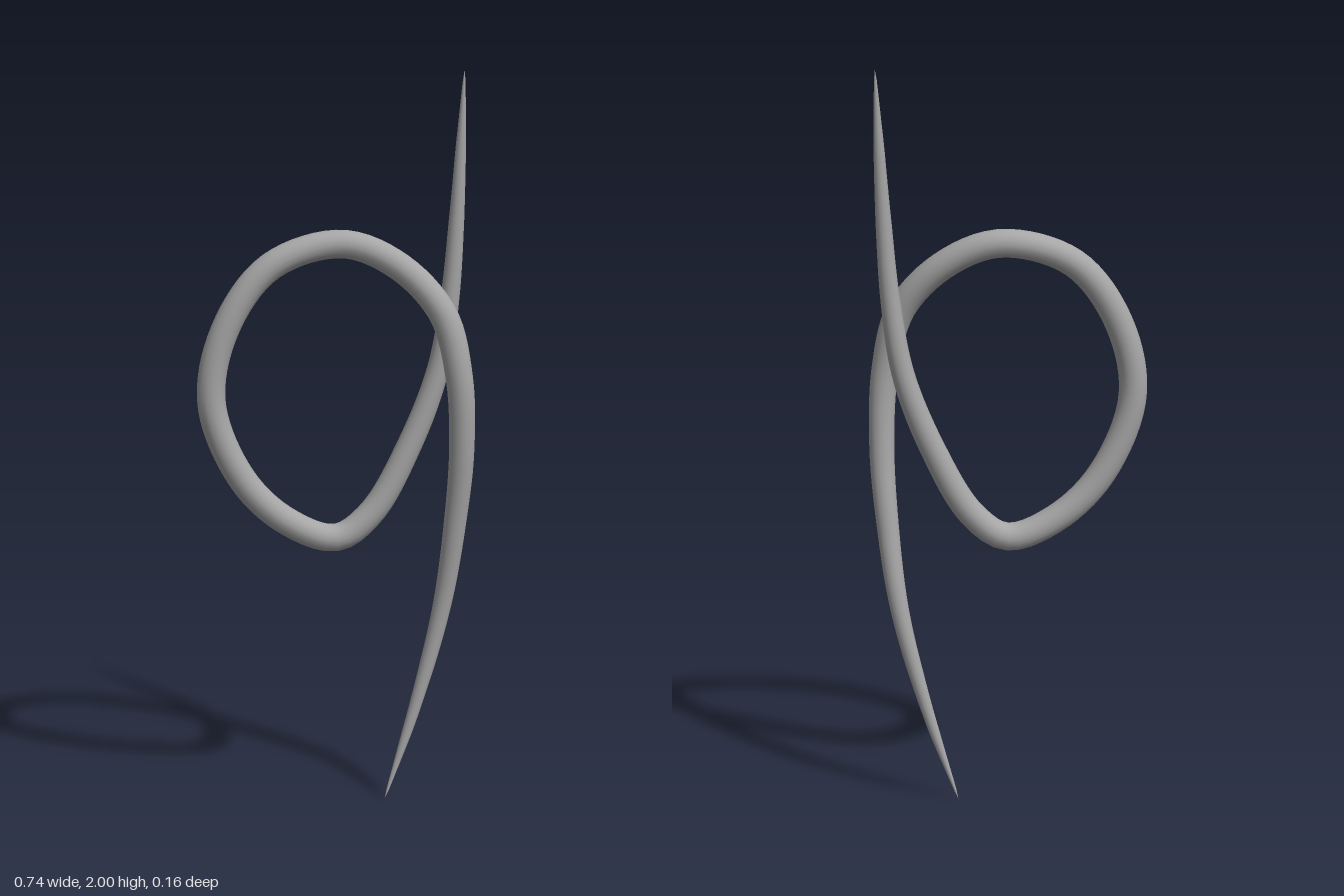
import * as THREE from 'three';

export function createModel() {
  const group = new THREE.Group();
  const grey = new THREE.MeshStandardMaterial({ color: 0xa6a6a6 });
  grey.name = 'grey';

  // centre line, from the top tip round the loop to the bottom tip
  const path = new THREE.CatmullRomCurve3([
    [0.345, 2, -0.03], [0.337, 1.8, -0.031], [0.327, 1.6, -0.032], [0.312, 1.4, -0.034],
    [0.28, 1.2, -0.036], [0.205, 1, -0.036], [0.1, 0.815, -0.035], [0.005, 0.75, -0.035],
    [-0.13, 0.8, -0.035], [-0.25, 0.92, -0.035], [-0.33, 1.13, -0.035], [-0.29, 1.33, -0.035],
    [-0.17, 1.49, -0.037], [0.02, 1.546, -0.038], [0.165, 1.49, -0.012], [0.28, 1.365, 0.025],
    [0.323, 1.2, 0.042], [0.335, 1, 0.03], [0.325, 0.8, 0.003], [0.295, 0.55, -0.026],
    [0.225, 0.27, -0.034], [0.14, 0.005, -0.031],
  ].map(p => new THREE.Vector3(...p)), false, 'centripetal');
  path.arcLengthDivisions = 1000;

  // thickness by distance from the nearer tip
  const taper = [[0, 0], [0.03, 0.004], [0.2, 0.014], [0.4, 0.021], [0.65, 0.027], [0.95, 0.033], [1.35, 0.038], [9, 0.038]];
  const radiusAt = d => {
    const i = Math.max(1, taper.findIndex(t => t[0] >= d));
    const [d0, r0] = taper[i - 1], [d1, r1] = taper[i];
    return r0 + (r1 - r0) * (d - d0) / (d1 - d0);
  };

  // tube with each ring scaled to the taper
  const rings = 160, sides = 16, length = path.getLength();
  const strand = new THREE.TubeGeometry(path, rings, 1, sides);
  const pos = strand.attributes.position, nor = strand.attributes.normal;
  const v = new THREE.Vector3(), n = new THREE.Vector3();
  for (let i = 0; i <= rings; i++) {
    const centre = path.getPointAt(i / rings);
    const r = radiusAt(Math.min(i, rings - i) / rings * length);
    for (let j = 0; j <= sides; j++) {
      const k = i * (sides + 1) + j;
      n.fromBufferAttribute(nor, k);
      v.copy(centre).addScaledVector(n, r);
      pos.setXYZ(k, v.x, v.y, v.z);
    }
  }

  const mesh = new THREE.Mesh(strand, grey);
  mesh.name = 'loopedStrand';
  group.add(mesh);
  return group;
}
